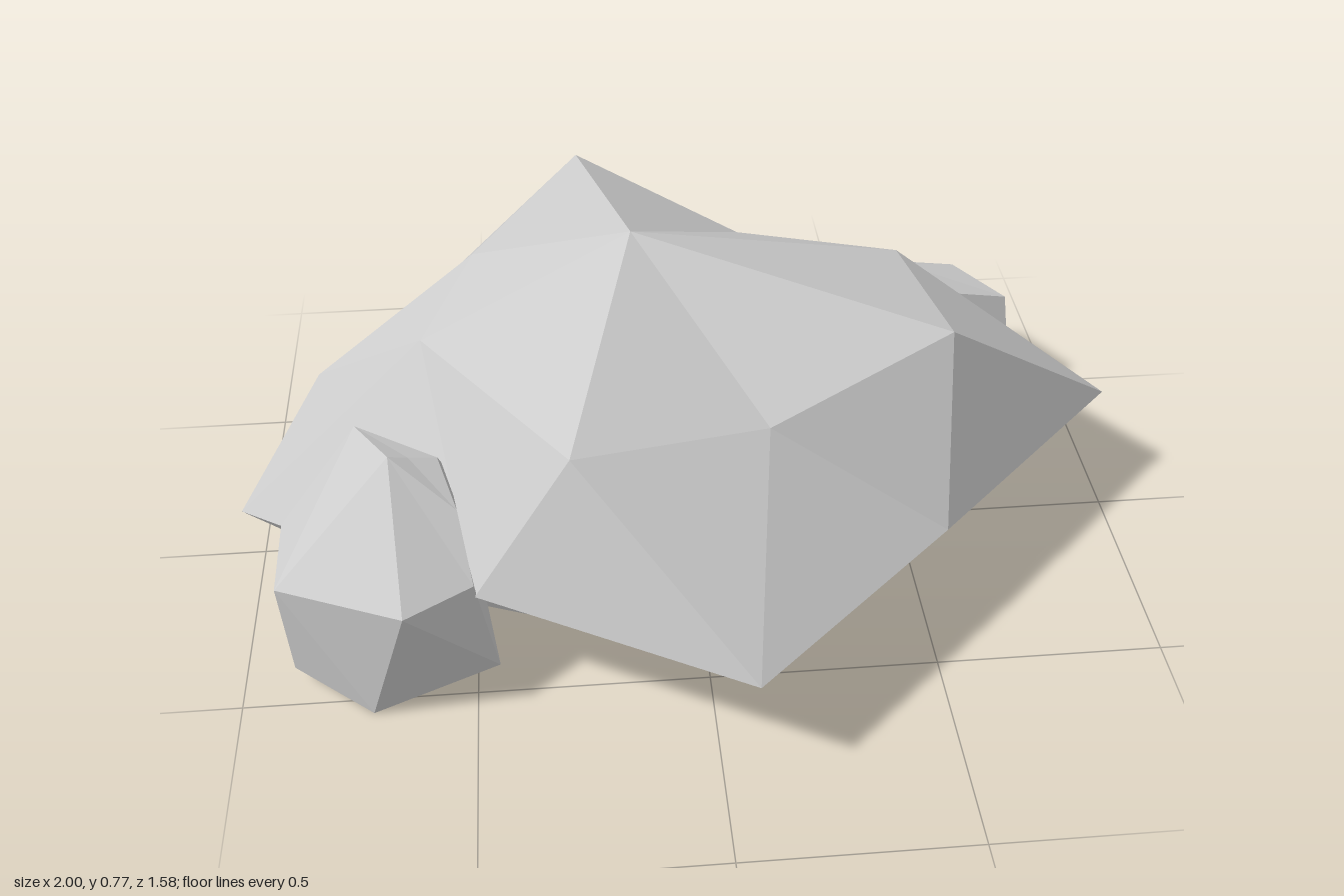
import * as THREE from 'three';

// Faceted rock: rings of corners listed top to bottom, closed by an apex and a floor point.
// Each ring runs from +x through +z; repeated corners collapse a facet.
function rock(name, apex, rings, floor) {
  const pos = [];
  const same = (p, q) => p.every((v, k) => v === q[k]);
  const tri = (a, b, c) => {
    if (!same(a, b) && !same(b, c) && !same(a, c)) pos.push(...a, ...b, ...c);
  };
  const n = rings[0].length;
  const last = rings[rings.length - 1];
  for (let i = 0; i < n; i++) {
    const j = (i + 1) % n;
    tri(apex, rings[0][j], rings[0][i]);
    for (let r = 0; r + 1 < rings.length; r++) {
      const up = rings[r], low = rings[r + 1];
      tri(up[i], up[j], low[i]);
      tri(up[j], low[j], low[i]);
    }
    tri(floor, last[i], last[j]);
  }
  const geometry = new THREE.BufferGeometry();
  geometry.setAttribute('position', new THREE.Float32BufferAttribute(pos, 3));
  geometry.computeVertexNormals();
  const mesh = new THREE.Mesh(
    geometry,
    new THREE.MeshStandardMaterial({ color: 0xcccccc, flatShading: true })
  );
  mesh.name = name;
  return mesh;
}

// Ring of [x, z] corners at one height
const level = (y, points) => points.map(([x, z]) => [x, y, z]);

export function createModel() {
  const group = new THREE.Group();
  group.name = 'rockCluster';

  // Main boulder: shoulder, widest rim, undercut base
  const shoulder = [
    [0.51, 0.58, -0.27], [0.56, 0.62, 0.13], [0.14, 0.535, 0.32], [-0.28, 0.6, 0.47],
    [-0.6, 0.49, -0.13], [-0.6, 0.49, -0.13], [-0.48, 0.55, -0.39], [-0.22, 0.62, -0.72],
    [0.16, 0.52, -0.48], [0.51, 0.58, -0.27],
  ];
  const rim = level(0.26, [
    [1, -0.1], [0.53, 0.36], [0.07, 0.79], [-0.49, 0.48], [-1, 0.16],
    [-0.87, -0.34], [-0.57, -0.75], [0, -0.64], [0.5, -0.62], [0.78, -0.4],
  ]);
  const base = level(0, [
    [0.41, -0.1], [0.32, 0.1], [0.07, 0.31], [-0.28, 0.31], [-0.62, 0.18],
    [-0.76, -0.2], [-0.55, -0.55], [-0.2, -0.74], [0.3, -0.66], [0.55, -0.4],
  ]);
  group.add(rock('mainBoulder', [-0.12, 0.77, -0.1], [shoulder, rim, base], [-0.1, 0, -0.2]));

  // Low rock tucked against the back left
  const backTop = [
    [0.85, 0.29, -0.48], [0.68, 0.345, -0.43], [0.45, 0.3, -0.3], [0.35, 0.25, -0.5],
    [0.24, 0.29, -0.62], [0.3, 0.31, -0.7], [0.75, 0.285, -0.65],
  ];
  const backBase = [
    [0.87, 0, -0.38], [0.71, 0.04, -0.17], [0.42, 0, 0.01], [0.2, 0, -0.3],
    [0.25, 0, -0.6], [0.41, 0, -0.79], [0.75, 0, -0.65],
  ];
  group.add(rock('backRock', [0.6, 0.33, -0.6], [backTop, backBase], [0.5, 0, -0.45]));

  // Blocky rock at the front right
  const frontTop = [
    [-0.52, 0.37, 0.33], [-0.66, 0.46, 0.25], [-0.66, 0.46, 0.25],
    [-0.74, 0.44, 0.11], [-0.56, 0.42, 0.21],
  ];
  const frontMiddle = [
    [-0.49, 0.29, 0.48], [-0.63, 0.31, 0.59], [-0.9, 0.285, 0.45],
    [-0.91, 0.26, 0.21], [-0.55, 0.3, 0.1],
  ];
  const frontBase = [
    [-0.45, 0.04, 0.46], [-0.72, 0, 0.54], [-0.89, 0.04, 0.43],
    [-0.88, 0.04, 0.15], [-0.5, 0, 0.1],
  ];
  group.add(rock('frontRock', [-0.62, 0.44, 0.23], [frontTop, frontMiddle, frontBase], [-0.68, 0, 0.3]));

  return group;
}
